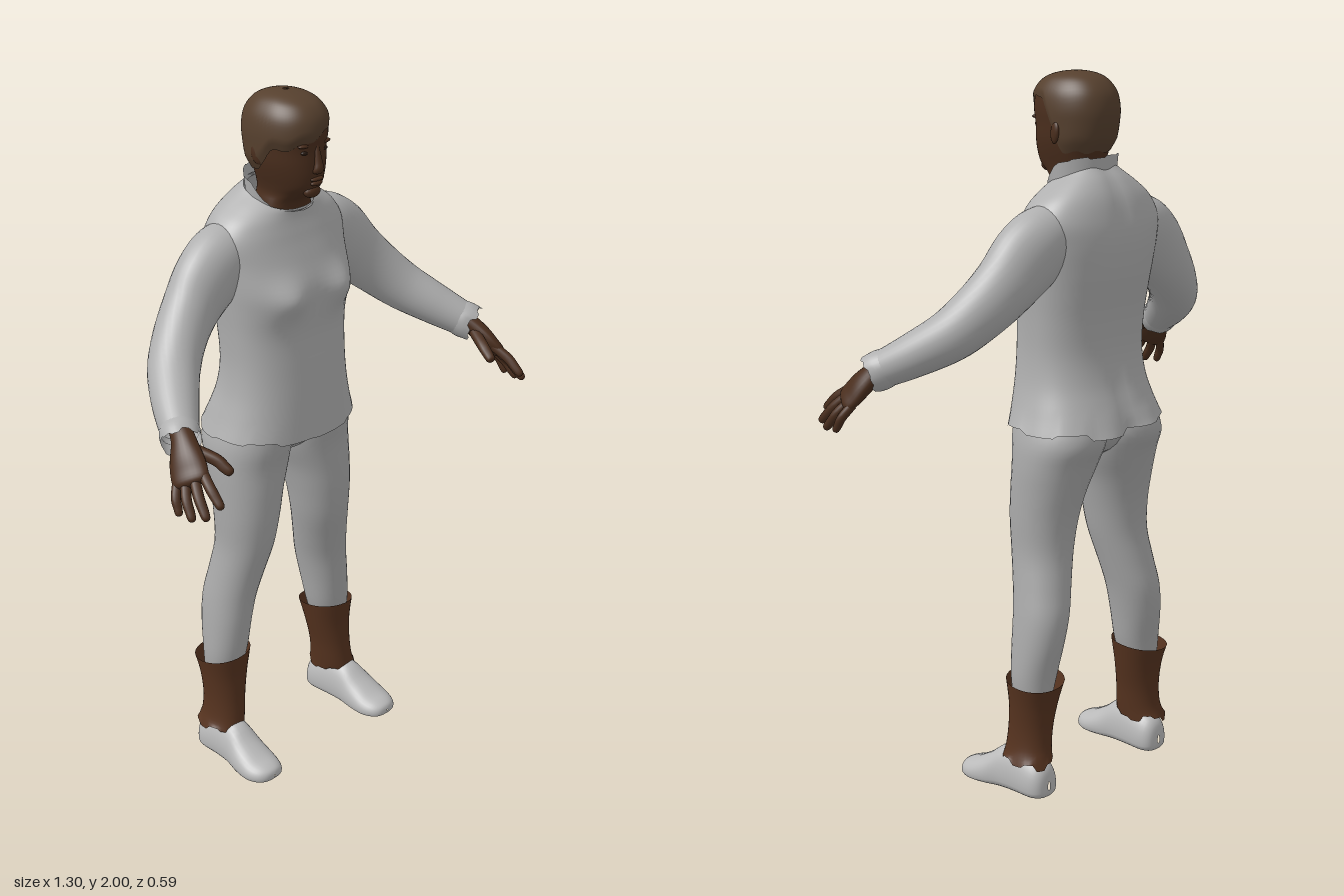
import * as THREE from 'three';

const V = (x, y, z) => new THREE.Vector3(x, y, z);
const mat = (name, color, side = THREE.FrontSide) => {
  const m = new THREE.MeshStandardMaterial({ color, side });
  m.name = name;
  return m;
};

// Smooth interpolation between the rows of a small table (k is a fractional row).
function sample(table, k) {
  const n = table.length - 1;
  const i = Math.min(Math.floor(k), n - 1), t = k - i;
  const row = (j) => table[Math.max(0, Math.min(n, j))];
  const [a, b, c, d] = [row(i - 1), row(i), row(i + 1), row(i + 2)];
  return b.map((p, j) => p + 0.5 * t * (c[j] - a[j] + t * (2 * a[j] - 5 * p + 4 * c[j] - d[j]
    + t * (3 * (p - c[j]) + d[j] - a[j]))));
}

// Closed-around surface: fn(v, angle) gives a point, v runs 0..1 along the part.
function surface(rows, cols, fn) {
  const pos = [], idx = [];
  for (let i = 0; i <= rows; i++) {
    for (let j = 0; j < cols; j++) pos.push(...fn(i / rows, (j / cols) * Math.PI * 2).toArray());
  }
  for (let i = 0; i < rows; i++) {
    for (let j = 0; j < cols; j++) {
      const a = i * cols + j, b = i * cols + (j + 1) % cols;
      idx.push(a, b, b + cols, a, b + cols, a + cols);
    }
  }
  const g = new THREE.BufferGeometry();
  g.setAttribute('position', new THREE.Float32BufferAttribute(pos, 3));
  g.setIndex(idx);
  g.computeVertexNormals();
  return g;
}

const pw = (s, n) => Math.sign(s) * Math.pow(Math.abs(s), 2 / n);

// Upright part from rows of [y, centreX, halfWidth, zFront, zBack].
function upright(table, rows, cols, n = 2.1, tweak = () => {}) {
  return surface(rows, cols, (v, a) => {
    const [y, cx, hw, f, b] = sample(table, v * (table.length - 1));
    const p = V(cx + hw * pw(Math.sin(a), n), y, (f + b) / 2 + ((f - b) / 2) * pw(Math.cos(a), n));
    tweak(p, v, a);
    return p;
  });
}

// Limb from rows of [x, y, z, sideRadius, upRadius]; hint sets the side direction.
function limb(table, rows, cols, hint, tweak = () => {}) {
  const n = table.length - 1;
  return surface(rows, cols, (v, a) => {
    const k = v * n;
    const s = sample(table, k), c = V(s[0], s[1], s[2]);
    const t = V(...sample(table, Math.min(n, k + 0.05))).sub(V(...sample(table, Math.max(0, k - 0.05)))).normalize();
    const u = (hint ? hint.clone() : V(0, 1, 0).cross(t));
    u.addScaledVector(t, -u.dot(t)).normalize();
    const w = t.clone().cross(u);
    c.addScaledVector(u, s[3] * Math.cos(a)).addScaledVector(w, s[4] * Math.sin(a));
    tweak(c, v, a, t);
    return c;
  });
}

function mirrored(geo) {
  const g = geo.clone().scale(-1, 1, 1), ix = g.index.array;
  for (let i = 0; i < ix.length; i += 3) [ix[i], ix[i + 1]] = [ix[i + 1], ix[i]];
  g.computeVertexNormals();
  return g;
}

// Stepped offset around an edge, for torn cloth.
const STEPS = [-0.6, 0.2, 0.9, -0.3, 0.5, -1, 0.3, 1, -0.5, 0.1, 0.8, -0.2];
const jag = (a) => STEPS[Math.floor((a / (Math.PI * 2)) * 12 + 0.001) % 12];

export function createModel() {
  const model = new THREE.Group();
  model.name = 'standingMan';
  const shirt = mat('shirtGrey', 0xb0b0b0, THREE.DoubleSide);
  const trousers = mat('trouserGrey', 0xaaaaaa);
  const shoe = mat('shoeGrey', 0xbababa);
  const leather = mat('legWrapBrown', 0x56331f, THREE.DoubleSide);
  const skin = mat('skinBrown', 0x4a2e1d);
  const hair = mat('hairBrown', 0x56402e, THREE.DoubleSide);
  const eye = mat('eyeDark', 0x2a1c14);

  const add = (name, geo, m) => {
    const mesh = new THREE.Mesh(geo, m);
    mesh.name = name;
    model.add(mesh);
  };
  const pair = (name, geo, m) => {
    add(name + 'Left', geo, m);
    add(name + 'Right', mirrored(geo), m);
  };
  const ball = (x, y, z, rx, ry, rz) => new THREE.SphereGeometry(1, 20, 14).scale(rx, ry, rz).translate(x, y, z);

  // Shirt body: flared torn hem, chest, seat and spine shaping, tilted neckline
  add('shirtBody', upright([
    [1.045, 0, 0.232, 0.055, -0.285], [1.1, 0, 0.213, 0.053, -0.268], [1.17, 0, 0.195, 0.05, -0.243],
    [1.25, 0, 0.188, 0.045, -0.23], [1.34, 0, 0.192, 0.04, -0.234], [1.42, 0, 0.2, 0.045, -0.247],
    [1.48, 0, 0.207, 0.045, -0.257], [1.55, 0, 0.215, 0.02, -0.262], [1.61, 0, 0.22, -0.002, -0.256],
    [1.66, 0, 0.192, -0.015, -0.24], [1.695, 0, 0.145, -0.02, -0.215], [1.72, 0, 0.098, -0.02, -0.185],
  ], 50, 72, 2.4, (p, v, a) => {
    const c = Math.cos(a), hem = Math.max(0, 1 - v / 0.1);
    p.y += hem * (0.011 * jag(a) - 0.008 * Math.max(0, c)) - 0.033 * c * Math.max(0, (v - 0.75) / 0.25);
    if (c > 0) p.z += 0.028 * Math.exp(-(((Math.abs(p.x) - 0.1) / 0.055) ** 2) - (((p.y - 1.455) / 0.05) ** 2));
    else {
      p.z += 0.014 * Math.exp(-((p.x / 0.025) ** 2)) * Math.max(hem, 0.5);
      p.z -= hem * 0.012 * Math.exp(-(((Math.abs(p.x) - 0.08) / 0.05) ** 2));
    }
  }), shirt);

  // Collar: low at the throat, standing at the nape
  add('collar', surface(6, 72, (v, a) => {
    const c = Math.cos(a), h = 0.012 + 0.05 * Math.min(1, Math.max(0, 0.65 - c) / 0.7);
    const r = 0.098 + 0.005 * v;
    return V(r * Math.sin(a), 1.712 - 0.03 * c + v * (h - 0.012 + 0.004 * jag(a)) - 0.012 * v * (c < 0 ? -c : 0),
      -0.102 + 0.086 * c * (1 + 0.04 * v));
  }), shirt);

  // Sleeves and torn cuffs
  pair('sleeve', limb([
    [0.13, 1.6, -0.135, 0.075, 0.07], [0.19, 1.565, -0.133, 0.082, 0.096], [0.25, 1.517, -0.128, 0.079, 0.102],
    [0.315, 1.455, -0.118, 0.074, 0.088], [0.38, 1.393, -0.092, 0.072, 0.078], [0.44, 1.335, -0.048, 0.07, 0.07],
    [0.5, 1.283, 0.025, 0.062, 0.06], [0.55, 1.24, 0.098, 0.05, 0.05],
  ], 36, 32), shirt);
  pair('cuff', limb([
    [0.538, 1.25, 0.08, 0.05, 0.05], [0.552, 1.239, 0.1, 0.054, 0.054], [0.564, 1.229, 0.118, 0.052, 0.052],
  ], 6, 36, null, (p, v, a, t) => p.addScaledVector(t, 0.01 * jag(a) * v)), shirt);

  // Hands: flattened palm, four fingers, thumb
  const across = V(0.045, -0.035, -0.065);
  pair('palm', limb([
    [0.54, 1.25, 0.085, 0.03, 0.026], [0.557, 1.23, 0.118, 0.034, 0.026], [0.575, 1.2, 0.148, 0.046, 0.026],
    [0.588, 1.172, 0.172, 0.052, 0.023], [0.6, 1.15, 0.193, 0.046, 0.018], [0.604, 1.143, 0.2, 0.002, 0.002],
  ], 20, 24, across), skin);
  const finger = (name, a, m, b, r) => pair(name, limb([
    [...a, r, r], [...m, r, r], ...[[0.55, 0.92], [0.85, 0.78], [0.96, 0.5], [1, 0.02]].map(([t, s]) =>
      [...V(...m).lerp(V(...b), t).toArray(), r * s, r * s]),
  ], 18, 12, across), skin);
  finger('indexFinger', [0.57, 1.178, 0.2], [0.583, 1.15, 0.245], [0.588, 1.108, 0.295], 0.0145);
  finger('middleFinger', [0.587, 1.165, 0.19], [0.608, 1.13, 0.228], [0.622, 1.08, 0.276], 0.0145);
  finger('ringFinger', [0.6, 1.153, 0.172], [0.624, 1.117, 0.2], [0.637, 1.069, 0.238], 0.0138);
  finger('littleFinger', [0.611, 1.145, 0.152], [0.633, 1.112, 0.17], [0.641, 1.07, 0.192], 0.0125);
  finger('thumb', [0.548, 1.212, 0.145], [0.522, 1.193, 0.2], [0.508, 1.163, 0.248], 0.0165);

  // Trousers
  add('trouserSeat', ball(0, 1.06, -0.115, 0.17, 0.115, 0.125), trousers);
  pair('trouserLeg', upright([
    [0.3, 0.218, 0.055, -0.07, -0.18], [0.36, 0.211, 0.065, -0.06, -0.187], [0.45, 0.2, 0.069, -0.052, -0.204],
    [0.53, 0.187, 0.072, -0.045, -0.21], [0.61, 0.17, 0.076, -0.03, -0.198], [0.7, 0.152, 0.082, -0.01, -0.186],
    [0.79, 0.143, 0.092, 0, -0.192], [0.87, 0.134, 0.102, 0.002, -0.21], [0.95, 0.12, 0.116, 0.003, -0.235],
    [1.02, 0.112, 0.116, 0.015, -0.262], [1.1, 0.1, 0.1, 0.02, -0.24], [1.17, 0.095, 0.08, 0.01, -0.2],
  ], 44, 32), trousers);

  // Leg wraps with uneven edges
  pair('legWrap', upright([
    [0.11, 0.237, 0.06, -0.045, -0.2], [0.15, 0.228, 0.056, -0.05, -0.188], [0.21, 0.222, 0.058, -0.056, -0.186],
    [0.28, 0.217, 0.068, -0.058, -0.195], [0.345, 0.215, 0.08, -0.051, -0.213],
  ], 20, 36, 2.1, (p, v, a) => {
    p.y += 0.012 * jag(a) * Math.max(0, 1 - v / 0.15) + 0.012 * Math.sin(a + 2.2) * v ** 4;
  }), leather);

  // Shoes, heel to toe: [z, centreX, halfWidth, bottom, top]
  const shoeRows = [
    [-0.2, 0.23, 0.004, 0.035, 0.06], [-0.193, 0.23, 0.034, 0.014, 0.095], [-0.165, 0.231, 0.05, 0.006, 0.12],
    [-0.1, 0.233, 0.052, 0.006, 0.14], [-0.045, 0.236, 0.054, 0.006, 0.133], [0.005, 0.24, 0.061, 0.005, 0.098],
    [0.055, 0.242, 0.062, 0.006, 0.07], [0.09, 0.242, 0.05, 0.01, 0.057], [0.108, 0.241, 0.03, 0.016, 0.047],
    [0.114, 0.241, 0.002, 0.028, 0.034],
  ];
  pair('shoe', surface(36, 32, (v, a) => {
    const [z, cx, hw, lo, hi] = sample(shoeRows, v * (shoeRows.length - 1));
    const s = Math.sin(a), c = Math.cos(a);
    // flatter sole, rounder upper
    return V(cx + hw * pw(c, 2.2), lo + (hi - lo) * (s > 0 ? 0.35 + 0.65 * s : 0.35 + 0.35 * pw(s, 3.5)), z);
  }), shoe);

  // Head and neck: [y, halfWidth, zFront, zBack]
  const headRows = [
    [1.64, 0.085, -0.025, -0.18], [1.7, 0.073, -0.022, -0.168], [1.727, 0.066, 0.005, -0.163],
    [1.752, 0.07, 0.034, -0.162], [1.785, 0.08, 0.043, -0.168], [1.82, 0.088, 0.044, -0.182],
    [1.86, 0.091, 0.043, -0.192], [1.9, 0.093, 0.049, -0.196], [1.94, 0.087, 0.043, -0.188],
    [1.969, 0.07, 0.021, -0.166], [1.984, 0.05, -0.01, -0.14], [1.991, 0.026, -0.045, -0.108], [1.993, 0.001, -0.074, -0.076],
  ];
  const headPoint = (k, a, grow = 0) => {
    const [y, hw, f, b] = sample(headRows, k), c = Math.cos(a), mid = -0.075;
    return V((hw + grow) * pw(Math.sin(a), 2.15), y + grow * Math.max(0, (k - 7) / 5),
      mid + (c > 0 ? f - mid + grow : mid - b + grow) * pw(c, 2.15));
  };
  add('head', surface(48, 48, (v, a) => headPoint(v * 12, a)), skin);

  // Hair: swept fringe, fuller on the right side
  add('hair', surface(26, 72, (v, a) => {
    const s = THREE.MathUtils.smoothstep(Math.cos(a), -0.3, 0.35);
    const edge = THREE.MathUtils.lerp(4.1, 6.9 + 1.0 * Math.sin(a), s) + 0.12 * Math.sin(a * 9);
    const grow = 0.007 + 0.006 * Math.max(0, -Math.sin(a)) * (1 - v);
    return headPoint(edge + (12 - edge) * v, a, grow * Math.min(1, 0.3 + v * 6));
  }), hair);

  // Face
  add('noseBridge', limb([
    [0, 1.8, 0.04, 0.016, 0.008], [0, 1.808, 0.048, 0.016, 0.013], [0, 1.825, 0.047, 0.012, 0.011],
    [0, 1.85, 0.043, 0.009, 0.008], [0, 1.872, 0.038, 0.006, 0.006],
  ], 14, 16, V(1, 0, 0)), skin);
  add('upperLip', ball(0, 1.78, 0.042, 0.024, 0.006, 0.009), skin);
  add('lowerLip', ball(0, 1.768, 0.04, 0.021, 0.007, 0.009), skin);
  add('chin', ball(0, 1.742, 0.022, 0.028, 0.018, 0.018), skin);
  pair('eye', ball(0.035, 1.855, 0.031, 0.013, 0.006, 0.007), eye);
  pair('brow', ball(0.036, 1.874, 0.031, 0.022, 0.006, 0.01), skin);
  pair('ear', ball(0, 0, 0, 0.009, 0.03, 0.018).rotateX(-0.2).rotateY(-0.3).translate(0.093, 1.84, -0.088), skin);

  return model;
}
